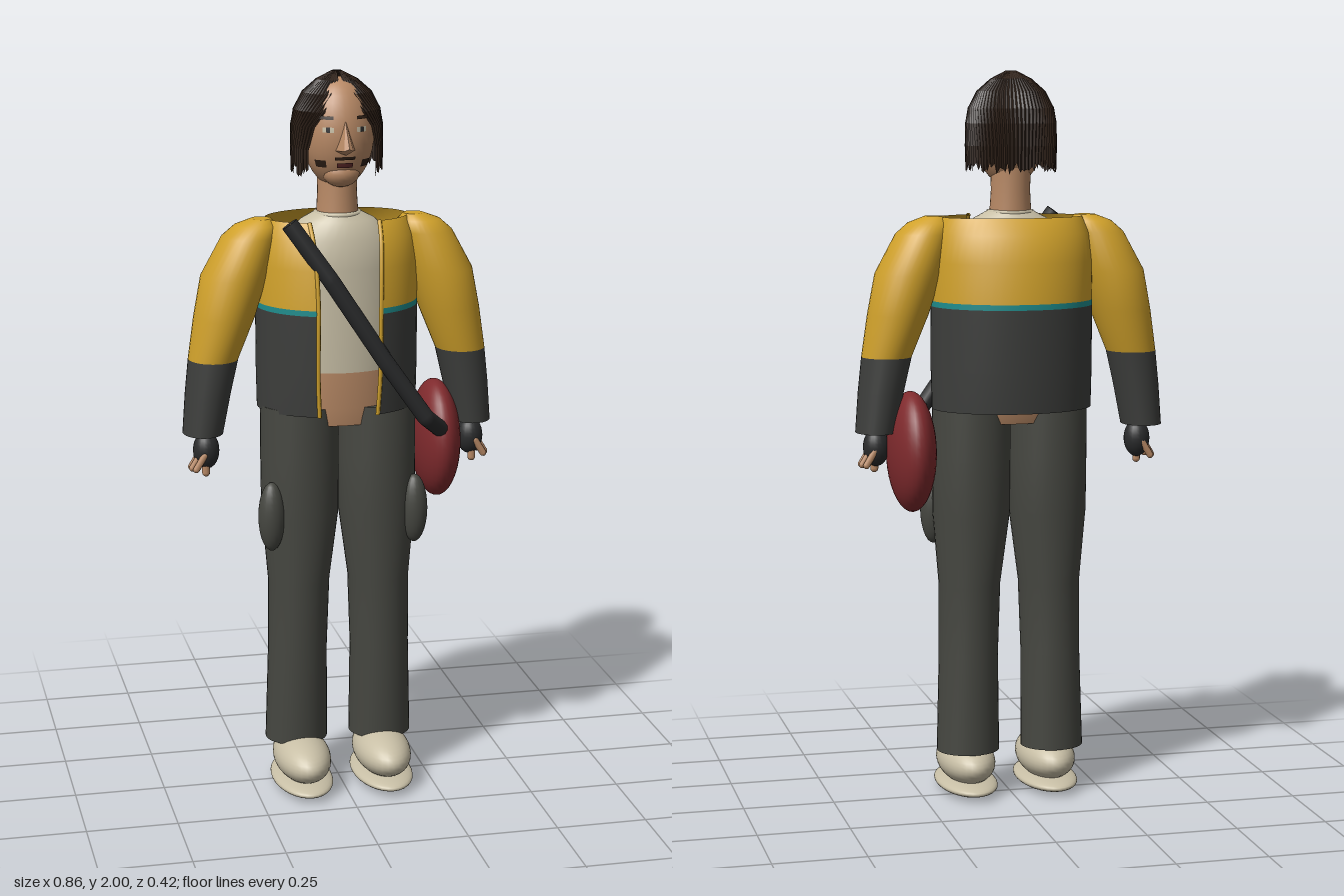
import * as THREE from 'three';
import { ConvexGeometry } from 'three/addons/geometries/ConvexGeometry.js';

const mat = (name, color, side = THREE.FrontSide) => {
  const m = new THREE.MeshStandardMaterial({ color, side });
  m.name = name;
  return m;
};

// Skin over horizontal ellipses, listed top to bottom: [y, cx, cz, rx, rz, frontGapHalfWidth].
function loft(rings, { seg = 32, open = false, caps = true, tweak = null } = {}) {
  const pos = [], idx = [], cols = open ? seg + 1 : seg;
  rings.forEach(([y, cx, cz, rx, rz, gap = 0], i) => {
    const a = open ? Math.asin(gap / rx) : 0;
    for (let j = 0; j < cols; j++) {
      const t = a + (2 * Math.PI - 2 * a) * j / seg;
      const [s, dy] = tweak ? tweak(i, j) : [1, 0];
      pos.push(cx + rx * s * Math.sin(t), y + dy, cz + rz * s * Math.cos(t));
    }
  });
  for (let i = 0; i < rings.length - 1; i++) {
    for (let j = 0; j < seg; j++) {
      const k = (j + 1) % cols, a = i * cols + j, b = i * cols + k;
      idx.push(a, a + cols, b, b, a + cols, b + cols);
    }
  }
  if (caps && !open) {
    for (const [i, up] of [[0, true], [rings.length - 1, false]]) {
      const [y, cx, cz] = rings[i], start = pos.length / 3;
      for (let j = 0; j < seg; j++) pos.push(...pos.slice((i * cols + j) * 3, (i * cols + j) * 3 + 3));
      pos.push(cx, y, cz);
      for (let j = 0; j < seg; j++) {
        const p = start + j, q = start + (j + 1) % seg;
        idx.push(start + seg, up ? p : q, up ? q : p);
      }
    }
  }
  const g = new THREE.BufferGeometry();
  g.setAttribute('position', new THREE.Float32BufferAttribute(pos, 3));
  g.setIndex(idx);
  g.computeVertexNormals();
  return g;
}

export function createModel() {
  const model = new THREE.Group();
  const skin = mat('skin', 0xb98a66), hair = mat('dark brown hair', 0x2e2017, THREE.DoubleSide);
  const cream = mat('cream', 0xc8bfa6), yellow = mat('yellow', 0xd0a12b, THREE.DoubleSide);
  const trouser = mat('trouser grey', 0x464741), charcoal = mat('charcoal', 0x3d3e3c, THREE.DoubleSide);
  const black = mat('soft black', 0x2a2b2c), teal = mat('teal', 0x1f8d8d, THREE.DoubleSide);
  const red = mat('dark red', 0x7f2a2d), lip = mat('lip', 0x5e2a2a);

  const add = (name, geo, material) => {
    const m = new THREE.Mesh(geo, material);
    m.name = name;
    model.add(m);
    return m;
  };
  const ball = (name, material, p, r, w = 32, h = 20) => {
    const m = add(name, new THREE.SphereGeometry(1, w, h), material);
    m.position.set(...p);
    m.scale.set(...r);
    return m;
  };

  // Torso
  add('shirt', loft([[1.625, 0, -0.005, 0.062, 0.06], [1.605, 0, -0.005, 0.1, 0.075], [1.56, 0, -0.008, 0.15, 0.105],
    [1.48, 0, -0.01, 0.17, 0.112], [1.2, 0, -0.01, 0.165, 0.112]]), cream);
  const collar = add('shirtCollar', new THREE.TorusGeometry(0.058, 0.008, 8, 32), cream);
  collar.rotation.x = Math.PI / 2;
  collar.position.set(0, 1.62, -0.005);
  add('waist', loft([[1.2, 0, -0.01, 0.163, 0.109], [1.1, 0, -0.005, 0.165, 0.102], [1.05, 0, 0, 0.16, 0.09]]), skin);
  add('neck', loft([[1.76, 0, -0.012, 0.055, 0.06], [1.68, 0, -0.01, 0.053, 0.056], [1.6, 0, -0.008, 0.058, 0.06]]), skin);

  // Open jacket in three colour bands
  const g = 0.085, open = { seg: 48, open: true };
  const upper = [[1.61, 0, -0.02, 0.195, 0.12, 0.095], [1.565, 0, -0.02, 0.215, 0.155, 0.092],
    [1.49, 0, -0.02, 0.221, 0.178, 0.088], [1.385, 0, -0.02, 0.222, 0.188, g]];
  const lower = [[1.37, 0, -0.02, 0.222, 0.188, g], [1.2, 0, -0.02, 0.222, 0.18, g], [1.09, 0, -0.02, 0.22, 0.17, 0.08]];
  add('jacketYoke', loft(upper, open), yellow);
  add('jacketStripe', loft([upper[3], lower[0]], open), teal);
  add('jacketBody', loft(lower, open), charcoal);

  for (const s of [-1, 1]) {
    const side = s > 0 ? 'left' : 'right';
    const flip = rings => rings.map(([y, x, ...r]) => [y, x * s, ...r]);

    // Jacket front edging
    const edge = [...upper, ...lower].map(([y, , cz, rx, rz, gap]) =>
      new THREE.Vector3(s * gap, y, cz + rz * Math.sqrt(1 - (gap / rx) ** 2)));
    add(side + 'JacketEdge', new THREE.TubeGeometry(new THREE.CatmullRomCurve3(edge), 24, 0.006, 6), yellow);

    // Sleeves
    add(side + 'UpperSleeve', loft(flip([[1.612, 0.21, -0.005, 0.028, 0.028], [1.595, 0.225, -0.005, 0.058, 0.055],
      [1.565, 0.242, -0.006, 0.075, 0.078], [1.46, 0.284, -0.008, 0.09, 0.1],
      [1.35, 0.312, -0.006, 0.083, 0.094], [1.235, 0.344, -0.004, 0.068, 0.077]])), yellow);
    add(side + 'LowerSleeve', loft(flip([[1.235, 0.344, -0.004, 0.068, 0.077], [1.14, 0.36, -0.003, 0.062, 0.073],
      [1.03, 0.375, -0.003, 0.055, 0.07]])), charcoal);

    // Gloved hand with bare fingers
    ball(side + 'Glove', black, [s * 0.37, 0.985, 0.018], [0.036, 0.052, 0.036], 20, 14);
    for (let i = 0; i < 4; i++) {
      const f = add(side + 'Finger', new THREE.CapsuleGeometry(0.0095, 0.045, 4, 8), skin);
      f.position.set(s * (0.402 - 0.008 * Math.abs(i - 1.5)), 0.958, -0.008 + i * 0.018);
      f.rotation.z = s * 0.55;
    }
    const thumb = add(side + 'Thumb', new THREE.CapsuleGeometry(0.011, 0.03, 4, 8), skin);
    thumb.position.set(s * 0.373, 0.94, 0.03);

    // Trouser leg, thigh pocket and shoe
    add(side + 'TrouserLeg', loft(flip([[1.1, 0.108, 0, 0.108, 0.105], [0.95, 0.108, 0.001, 0.108, 0.107],
      [0.8, 0.108, 0.003, 0.107, 0.106], [0.6, 0.113, 0.006, 0.085, 0.093], [0.4, 0.117, 0.004, 0.082, 0.087],
      [0.13, 0.12, -0.002, 0.087, 0.083]])), trouser);
    ball(side + 'ThighPocket', trouser, [s * 0.2, 0.8, 0.07], [0.037, 0.097, 0.036], 20, 14);
    ball(side + 'Shoe', cream, [s * 0.115, 0.088, 0.05], [0.078, 0.063, 0.152]);
    ball(side + 'ShoeSole', cream, [s * 0.115, 0.025, 0.048], [0.084, 0.024, 0.162]);
  }

  // Head
  const headPos = [0, 1.838, 0.002], headSize = [0.097, 0.148, 0.097];
  ball('head', skin, headPos, headSize);
  ball('chin', skin, [0, 1.735, 0.04], [0.05, 0.038, 0.042], 20, 14);
  add('nose', new ConvexGeometry([[0, 1.885, 0.09], [0, 1.812, 0.143], [0.03, 1.8, 0.08], [-0.03, 1.8, 0.08],
    [0, 1.79, 0.105], [0.012, 1.806, 0.136], [-0.012, 1.806, 0.136]].map(p => new THREE.Vector3(...p))), skin);

  // Face details as thin patches following the head
  const patch = (name, material, x, y, w, h, lift = 1.015) => {
    const theta = Math.acos((y - headPos[1]) / headSize[1]);
    const phi = Math.PI / 2 + Math.asin(x / (headSize[0] * Math.sin(theta)));
    const m = add(name, new THREE.SphereGeometry(lift, 8, 4, phi - w / 2, w, theta - h / 2, h), material);
    m.position.set(...headPos);
    m.scale.set(...headSize);
  };
  for (const s of [-1, 1]) {
    patch('eyebrow', hair, s * 0.048, 1.886, 0.42, 0.06, 1.03);
    patch('eyeWhite', cream, s * 0.045, 1.856, 0.32, 0.09);
    patch('iris', black, s * 0.045, 1.856, 0.12, 0.09, 1.025);
    patch('cheekBeard', hair, s * 0.06, 1.765, 0.4, 0.15);
  }
  patch('moustache', hair, 0, 1.782, 0.6, 0.06, 1.03);
  patch('mouth', lip, 0, 1.764, 0.5, 0.1, 1.04);

  // Parted bob with ridged strands and a ragged hem
  let seed = 7;
  const rand = () => (seed = (seed * 16807) % 2147483647) / 2147483647;
  const hairRings = [[2.0, 0, -0.015, 0.013, 0.012, 0.002], [1.978, 0, -0.015, 0.055, 0.048, 0.005],
    [1.945, 0, -0.015, 0.092, 0.08, 0.018], [1.9, 0, -0.015, 0.115, 0.1, 0.05], [1.86, 0, -0.015, 0.122, 0.106, 0.078],
    [1.8, 0, -0.015, 0.123, 0.106, 0.092], [1.745, 0, -0.015, 0.121, 0.104, 0.092]];
  const hairGeo = loft(hairRings, {
    seg: 110, open: true,
    tweak: (i, j) => [j % 2 ? 1.02 : 0.985, i === 6 ? (rand() - 0.6) * 0.035 : 0],
  }).toNonIndexed();
  hairGeo.computeVertexNormals();
  add('hair', hairGeo, hair);

  // Shoulder strap and bag
  const strap = new THREE.CurvePath();
  const sp = [[-0.155, 1.615, 0.112], [-0.05, 1.465, 0.14], [0.1, 1.235, 0.15], [0.21, 1.078, 0.152], [0.275, 1.02, 0.085]]
    .map(p => new THREE.Vector3(...p));
  for (let i = 0; i < sp.length - 1; i++) strap.add(new THREE.LineCurve3(sp[i], sp[i + 1]));
  add('strap', new THREE.TubeGeometry(strap, 60, 0.023, 12), black);
  const end = add('strapEnd', new THREE.CircleGeometry(0.023, 12), black);
  end.position.copy(sp[0]);
  end.lookAt(sp[0].clone().multiplyScalar(2).sub(sp[1]));
  ball('bag', red, [0.28, 0.975, -0.018], [0.065, 0.165, 0.136]);

  return model;
}
